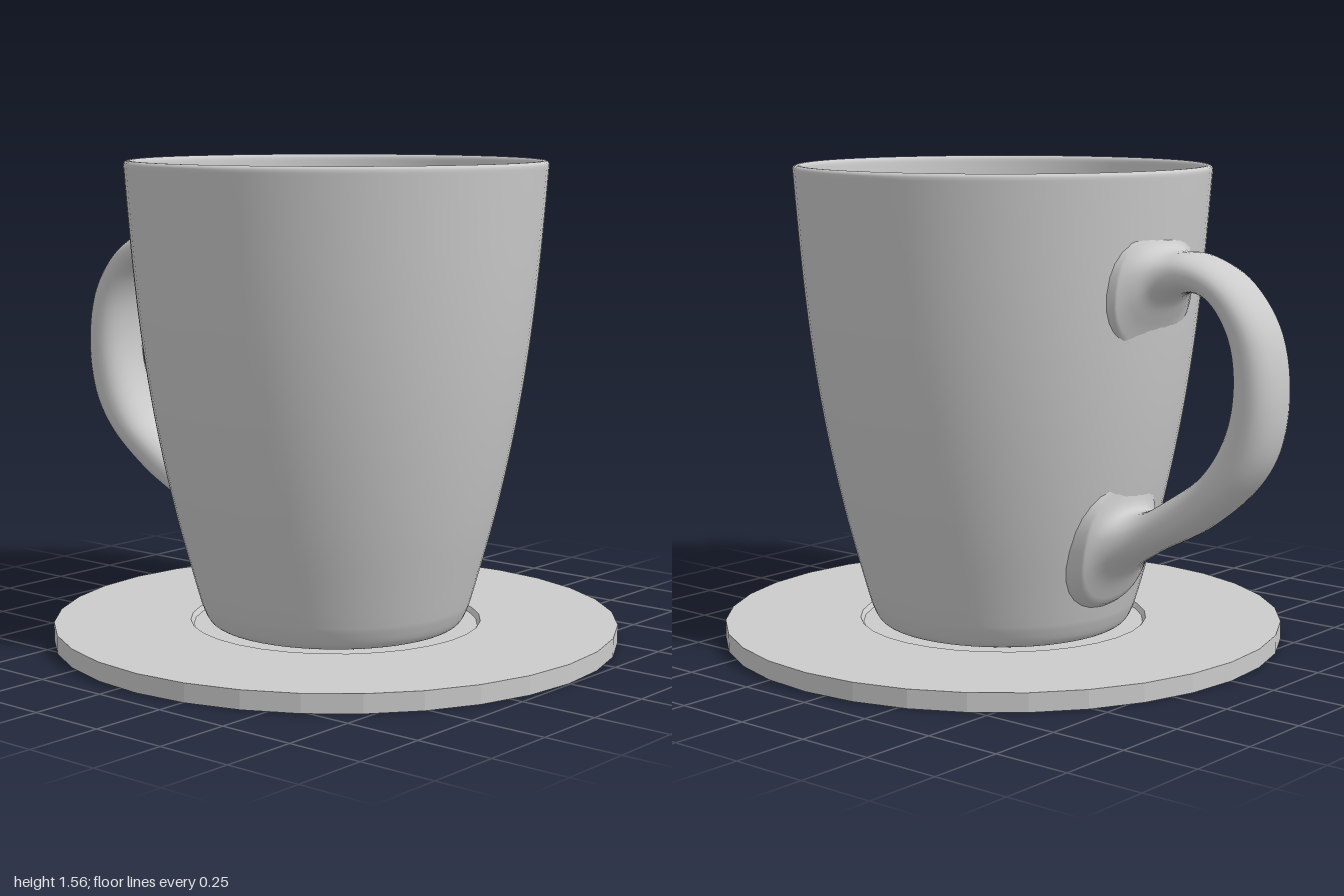
import * as THREE from 'three';

const CENTER_Z = 0.075; // shared axis of mug and saucer

// Outer wall of the mug: radius, height
const OUTER = [[0.44, 0.12], [0.463, 0.2], [0.517, 0.4], [0.562, 0.6], [0.599, 0.8],
  [0.628, 1.0], [0.65, 1.2], [0.667, 1.4], [0.677, 1.53]];

const spline = (pts, n) => new THREE.SplineCurve(pts.map(p => new THREE.Vector2(...p))).getPoints(n);
const wall = spline(OUTER, 40);

// Wall radius at a given height
function wallRadius(y) {
  for (let i = 1; i < wall.length; i++) {
    const a = wall[i - 1], b = wall[i];
    if (y <= b.y) return a.x + (b.x - a.x) * Math.max(0, (y - a.y) / (b.y - a.y));
  }
  return wall[wall.length - 1].x;
}

function grey(options = {}) {
  return new THREE.MeshStandardMaterial({ color: 0xcccccc, ...options });
}

function makeMug() {
  const foot = spline([[0.37, 0.047], [0.4, 0.055], [0.42, 0.075], [0.44, 0.12]], 10);
  const rim = spline([[0.677, 1.53], [0.677, 1.546], [0.668, 1.554], [0.656, 1.554], [0.648, 1.545], [0.646, 1.53]], 12);
  const inside = wall.filter(p => p.y > 0.22 && p.y < 1.5).reverse()
    .map(p => new THREE.Vector2(p.x - 0.031, p.y));
  const floor = spline([[0.43, 0.2], [0.415, 0.15], [0.39, 0.125], [0.35, 0.117], [0.3, 0.116]], 12);
  const profile = [new THREE.Vector2(0, 0.046), ...foot, ...wall.slice(1), ...rim.slice(1),
    ...inside, ...floor, new THREE.Vector2(0, 0.116)];
  return new THREE.Mesh(new THREE.LatheGeometry(profile, 72), grey());
}

function makeSaucer() {
  // Flat faceted disc with a shallow seat for the mug
  const profile = [[0, 0], [0.92, 0], [0.92, 0.06], [0.475, 0.06], [0.465, 0.045], [0, 0.045]]
    .map(p => new THREE.Vector2(...p));
  return new THREE.Mesh(new THREE.LatheGeometry(profile, 32), grey({ flatShading: true }));
}

function makeHandle() {
  // Sections from top joint to bottom joint: outer z, y, inner z, y, half width
  const sections = [
    [-0.57, 1.38, -0.53, 1.0, 0.21],
    [-0.595, 1.332, -0.572, 1.09, 0.165],
    [-0.63, 1.312, -0.625, 1.165, 0.125],
    [-0.715, 1.31, -0.71, 1.19, 0.105],
    [-0.85, 1.245, -0.78, 1.165, 0.1],
    [-0.962, 1.1, -0.845, 1.06, 0.097],
    [-1.0, 0.91, -0.863, 0.91, 0.097],
    [-0.975, 0.72, -0.83, 0.76, 0.097],
    [-0.9, 0.595, -0.755, 0.64, 0.1],
    [-0.745, 0.46, -0.64, 0.553, 0.103],
    [-0.565, 0.36, -0.535, 0.493, 0.115],
    [-0.46, 0.285, -0.485, 0.497, 0.145],
    [-0.385, 0.16, -0.465, 0.6, 0.19]
  ];
  const curve = pick => new THREE.CatmullRomCurve3(sections.map(pick));
  const outer = curve(s => new THREE.Vector3(s[4], s[1], s[0]));
  const inner = curve(s => new THREE.Vector3(s[4], s[3], s[2]));
  const rows = 72, sides = 28, positions = [], index = [];
  const soft = v => Math.sign(v) * Math.abs(v) ** 0.85;

  for (let i = 0; i <= rows; i++) {
    const o = outer.getPoint(i / rows), n = inner.getPoint(i / rows);
    for (let j = 0; j < sides; j++) {
      const a = j / sides * Math.PI * 2, c = soft(Math.cos(a));
      const y = (o.y + n.y) / 2 + c * (o.y - n.y) / 2;
      let z = (o.z + n.z) / 2 + c * (o.z - n.z) / 2;
      // The handle is set at a slight angle to the mug
      const x = 0.02 + (z + 0.6) * 0.0875 + soft(Math.sin(a)) * o.x;
      // Joints follow the wall, and end rings sink just below its surface
      const r = wallRadius(y) - 0.012;
      const surface = CENTER_Z - Math.sqrt(r * r - x * x);
      z = i === 0 || i === rows ? surface : Math.min(z, surface);
      positions.push(x, y, z);
      if (i < rows) {
        const k = (j + 1) % sides, p = i * sides, q = p + sides;
        index.push(p + j, p + k, q + j, p + k, q + k, q + j);
      }
    }
  }
  const geometry = new THREE.BufferGeometry();
  geometry.setAttribute('position', new THREE.Float32BufferAttribute(positions, 3));
  geometry.setIndex(index);
  geometry.computeVertexNormals();
  return new THREE.Mesh(geometry, grey());
}

export function createModel() {
  const model = new THREE.Group();
  model.name = 'mugOnSaucer';
  const mug = makeMug(), saucer = makeSaucer(), handle = makeHandle();
  mug.name = 'mug';
  saucer.name = 'saucer';
  handle.name = 'handle';
  mug.position.z = saucer.position.z = CENTER_Z;
  model.add(saucer, mug, handle);
  return model;
}
